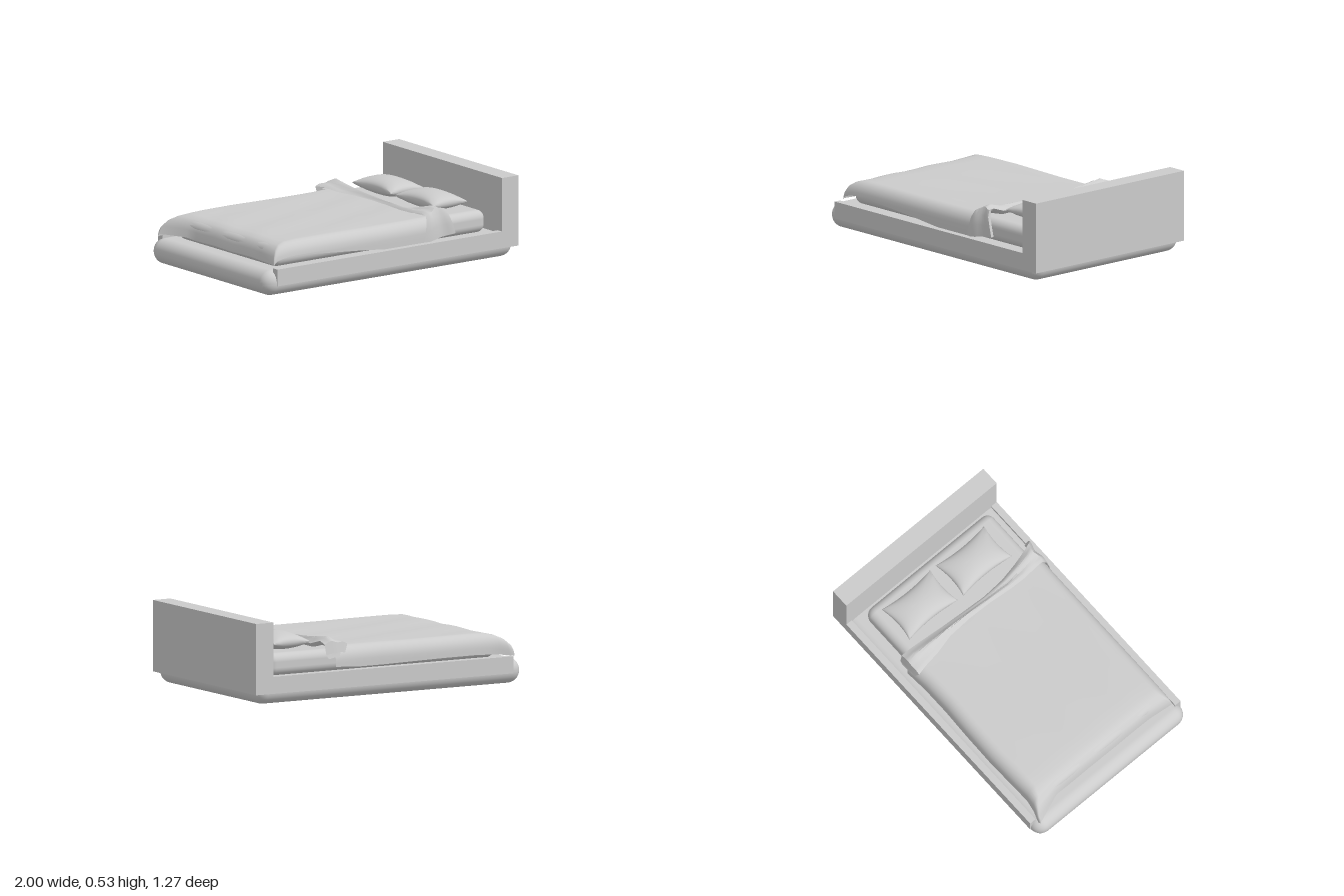
import * as THREE from 'three';
import { RoundedBoxGeometry } from 'three/addons/geometries/RoundedBoxGeometry.js';
import { toCreasedNormals } from 'three/addons/utils/BufferGeometryUtils.js';

const solid = new THREE.MeshStandardMaterial({ color: 0xcccccc });
const cloth = new THREE.MeshStandardMaterial({ color: 0xcccccc, side: THREE.DoubleSide });

function add(parent, name, geometry, material = solid) {
  const mesh = new THREE.Mesh(geometry, material);
  mesh.name = name;
  parent.add(mesh);
  return mesh;
}

// Rounded box given by its lower and upper corners
function softBox([x0, y0, z0], [x1, y1, z1], radius) {
  return new RoundedBoxGeometry(x1 - x0, y1 - y0, z1 - z0, 4, radius)
    .translate((x0 + x1) / 2, (y0 + y1) / 2, (z0 + z1) / 2);
}

// Skin through rows of points, each row having the same length
function loft(rows) {
  const n = rows[0].length, index = [];
  for (let i = 0; i < rows.length - 1; i++) {
    for (let j = 0; j < n - 1; j++) {
      const a = i * n + j, b = a + n;
      index.push(a, a + 1, b, a + 1, b + 1, b);
    }
  }
  const g = new THREE.BufferGeometry();
  g.setAttribute('position', new THREE.Float32BufferAttribute(rows.flat(2), 3));
  g.setIndex(index);
  g.computeVertexNormals();
  return g;
}

// Headboard and side rails
function frame() {
  const group = new THREE.Group();
  group.name = 'frame';
  add(group, 'headboard', new THREE.BoxGeometry(0.13, 0.46, 1.27).translate(0.935, 0.305, 0));
  for (const s of [-1, 1]) {
    add(group, 'sideRail', new THREE.BoxGeometry(1.79, 0.11, 0.045).translate(-0.025, 0.13, s * 0.6125));
  }
  return group;
}

// Cushion: domed disc of cloth with drawn-in edges and sharp corners
function pillowGeometry() {
  const g = new THREE.SphereGeometry(1, 32, 20);
  const p = g.attributes.position;
  for (let i = 0; i < p.count; i++) {
    const x = p.getX(i), y = p.getY(i), z = p.getZ(i);
    const r = Math.hypot(x, z), m = Math.max(Math.abs(x), Math.abs(z)) || 1;
    const u = x * r / m, v = z * r / m;
    const dome = Math.pow(Math.max(0, (1 - u * u) * (1 - v * v)), 0.4);
    p.setXYZ(i,
      u * 0.135 * (1 - 0.14 * (1 - v * v)),
      Math.sign(y) * dome * 0.058,
      v * 0.205 * (1 - 0.08 * (1 - u * u)));
  }
  g.computeVertexNormals();
  return toCreasedNormals(g, 1.1);
}

// Duvet: hems hang over both sides and the foot end
function duvetGeometry() {
  // x, top height, front hem height, back hem height, shoulder inset
  const stations = [
    [-0.885, 0.2, 0.19, 0.18, 0.01], [-0.878, 0.25, 0.205, 0.18, 0.02],
    [-0.86, 0.29, 0.22, 0.185, 0.04], [-0.83, 0.315, 0.23, 0.19, 0.06],
    [-0.78, 0.328, 0.238, 0.195, 0.075], [-0.68, 0.332, 0.238, 0.2, 0.08],
    [-0.45, 0.332, 0.22, 0.2, 0.08], [-0.2, 0.33, 0.2, 0.195, 0.08],
    [0, 0.33, 0.18, 0.19, 0.08], [0.2, 0.33, 0.178, 0.19, 0.08],
    [0.3, 0.332, 0.178, 0.2, 0.08], [0.36, 0.332, 0.185, 0.2, 0.08],
  ];
  const rows = stations.map(([x, top, front, back, inset], i) => {
    const row = [];
    const side = (s, z, hem) => {
      const pts = [];
      const shoulder = Math.max(hem, top - 0.09);
      pts.push([x, hem, s * z], [x, (hem + shoulder) / 2, s * z]);
      for (let k = 0; k <= 6; k++) {
        const a = k / 6 * Math.PI / 2;
        pts.push([x, shoulder + (top - shoulder) * Math.sin(a), s * (z - inset * (1 - Math.cos(a)))]);
      }
      return pts;
    };
    const wave = 0.008 * Math.sin(i * 1.3);
    row.push(...side(-1, 0.553 + wave, back));
    for (let k = 1; k < 10; k++) {
      row.push([x, top + 0.003 * Math.sin(k * 1.7 + x * 6), -0.48 + 0.098 * k]);
    }
    row.push(...side(1, 0.578, front).reverse());
    return row;
  });
  // Foot corners are pulled outwards, the back one furthest
  for (const row of rows) {
    for (const p of row) {
      const foot = THREE.MathUtils.clamp((-0.76 - p[0]) / 0.12, 0, 1);
      const nearBack = THREE.MathUtils.smoothstep(-p[2], 0.38, 0.54);
      const nearFront = THREE.MathUtils.smoothstep(p[2], 0.5, 0.58);
      const low = THREE.MathUtils.clamp((0.33 - p[1]) / 0.12, 0, 1);
      p[0] -= foot * (0.075 * nearBack * (0.4 + 0.6 * low) + 0.02 * nearFront);
      p[2] -= foot * nearBack * 0.03;
    }
  }
  return loft(rows);
}

// Turned-back edge: a rumpled strip that drops over the front side
function foldGeometry() {
  // z, left x, left y, right x, right y, ridge height
  const sections = [
    [-0.56, 0.29, 0.29, 0.43, 0.28, 0.01], [-0.545, 0.265, 0.345, 0.435, 0.35, 0.025],
    [-0.48, 0.28, 0.35, 0.43, 0.365, 0.035], [-0.36, 0.3, 0.338, 0.43, 0.335, 0.04],
    [-0.22, 0.335, 0.335, 0.42, 0.325, 0.03], [-0.05, 0.345, 0.335, 0.41, 0.32, 0.025],
    [0.12, 0.34, 0.335, 0.4, 0.32, 0.025], [0.28, 0.325, 0.335, 0.41, 0.32, 0.03],
    [0.4, 0.32, 0.34, 0.43, 0.34, 0.035], [0.5, 0.325, 0.355, 0.45, 0.375, 0.03],
    [0.55, 0.325, 0.35, 0.47, 0.38, 0.02], [0.575, 0.315, 0.31, 0.485, 0.34, 0.01],
    [0.585, 0.3, 0.25, 0.51, 0.28, 0.01], [0.588, 0.29, 0.18, 0.53, 0.215, 0],
  ];
  const rows = sections.map(([z, x0, y0, x1, y1, h], i) => {
    const row = [];
    for (let k = 0; k <= 10; k++) {
      const t = k / 10;
      const ridge = Math.sin(Math.PI * t) * (0.75 + 0.35 * Math.sin(t * 9 + i * 0.9));
      row.push([x0 + (x1 - x0) * t, y0 + (y1 - y0) * t + h * ridge,
        z + (i > 9 ? 0.008 * Math.sin(t * 8) : 0)]);
    }
    // Underside tucks back beneath the strip
    if (i < 10) row.push([x1 - 0.02, y1 - 0.025, z], [x0 + 0.04, y0 - 0.02, z]);
    else row.push([x1 - 0.01, y1, z - 0.02], [x0 + 0.02, y0, z - 0.02]);
    return row;
  });
  return toCreasedNormals(loft(rows.map(r => r.slice().reverse())), 0.9);
}

export function createModel() {
  const bed = new THREE.Group();
  bed.name = 'bed';
  add(bed, 'base', softBox([-1, 0.005, -0.63], [0.985, 0.17, 0.63], 0.08));
  bed.add(frame());
  add(bed, 'mattress', softBox([-0.87, 0.165, -0.515], [0.83, 0.312, 0.53], 0.055));
  add(bed, 'duvet', duvetGeometry().scale(1, 1, 1), cloth);
  add(bed, 'duvetFold', foldGeometry(), cloth);
  const pillow = pillowGeometry();
  for (const z of [-0.235, 0.22]) {
    add(bed, 'pillow', pillow).position.set(0.615, 0.36, z);
  }
  return bed;
}
